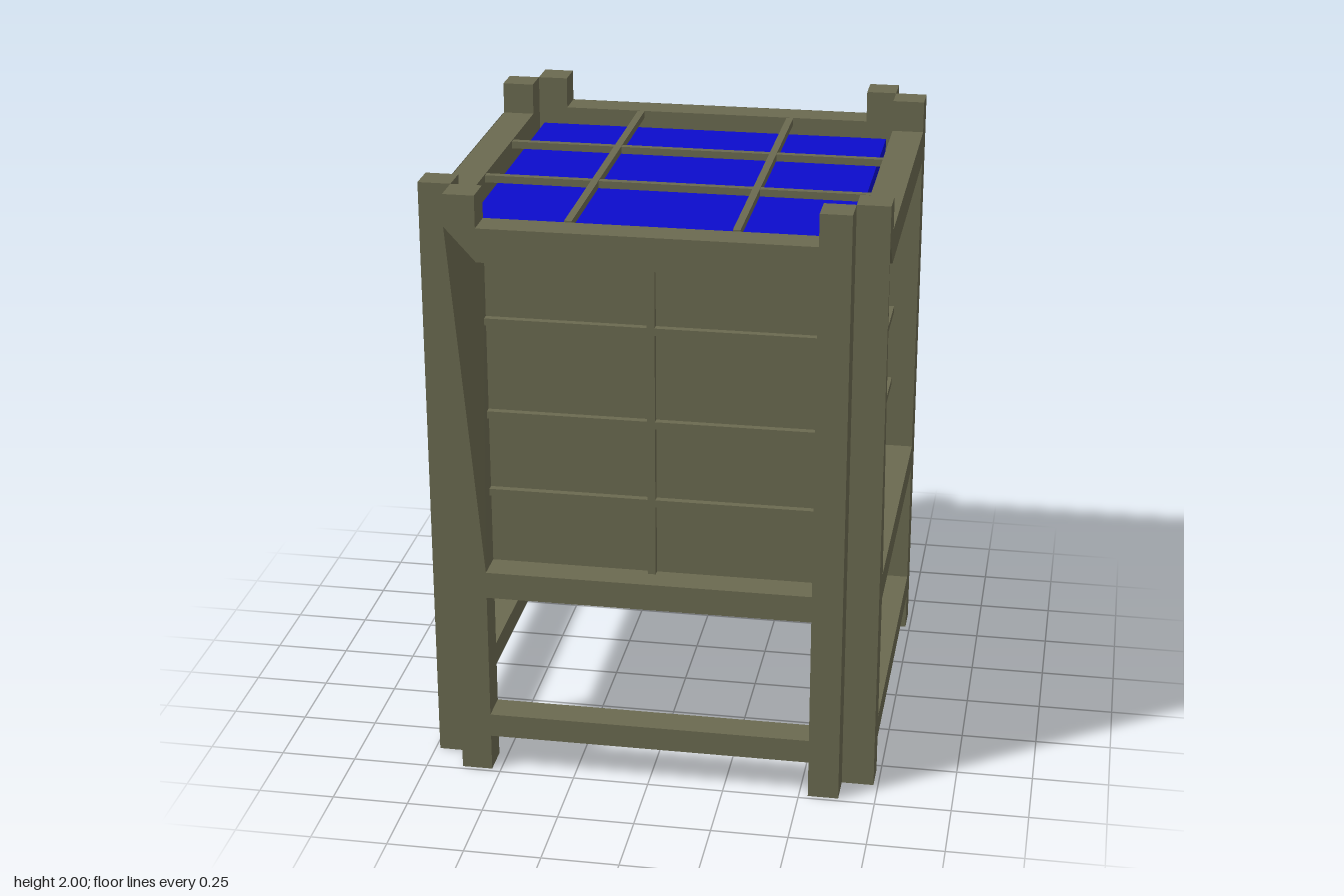
import * as THREE from 'three';

const olive = new THREE.MeshStandardMaterial({ color: 0x6b6a50, flatShading: true, side: THREE.DoubleSide });
const blue = new THREE.MeshStandardMaterial({ color: 0x0c0ccc, flatShading: true, side: THREE.DoubleSide });

const IN = 0.53, OUT = 0.63, FACE = 0.735; // post inner edge, post outer edge, outer frame plane
const TOP = 1.895, SILL = 0.635, WIN_LOW = 0.725, WIN_HIGH = 1.785;

// Box given by its minimum and maximum corners
function block(parent, name, [x0, y0, z0], [x1, y1, z1], material = olive) {
  const geo = new THREE.BoxGeometry(x1 - x0, y1 - y0, z1 - z0);
  geo.translate((x0 + x1) / 2, (y0 + y1) / 2, (z0 + z1) / 2);
  const mesh = new THREE.Mesh(geo, material);
  mesh.name = name;
  parent.add(mesh);
  return mesh;
}

// Pull the front top inner corner of a block out to the post's outer edge
function bevelCorner(mesh) {
  const p = mesh.geometry.attributes.position;
  for (let i = 0; i < p.count; i++) {
    const atCorner = Math.abs(p.getX(i) + IN) < 1e-4 && p.getY(i) > TOP - 1e-3 && p.getZ(i) > FACE - 1e-3;
    if (atCorner) p.setX(i, -OUT);
  }
  mesh.geometry.computeVertexNormals();
}

// One upright and three horizontal ribs on a wall at depth z
function addRibs(parent, z, depth) {
  block(parent, 'uprightRib', [-0.013, WIN_LOW, z], [0.013, 1.77, z + depth]);
  for (const y of [0.975, 1.245, 1.56])
    block(parent, 'crossRib', [-IN, y - 0.012, z], [IN, y + 0.012, z + depth]);
}

// Posts and rails of one side, facing +z
function sideFrame(name, open) {
  const side = new THREE.Group();
  side.name = name;
  block(side, 'post', [IN, 0, OUT], [OUT, 2, FACE]);
  if (open) {
    block(side, 'postFoot', [-OUT, 0, OUT], [-IN, WIN_LOW, FACE]);
    bevelCorner(block(side, 'postMiddle', [-OUT, WIN_LOW, OUT], [-IN, TOP, FACE]));
    block(side, 'postHead', [-OUT, TOP, OUT], [-IN, 2, FACE]);
  } else {
    block(side, 'post', [-OUT, 0, OUT], [-IN, 2, FACE]);
  }
  const topRail = block(side, 'topRail', [-IN, WIN_HIGH, OUT], [IN, TOP, FACE]);
  if (open) bevelCorner(topRail);
  block(side, 'middleRail', [-IN, SILL, OUT], [IN, WIN_LOW, FACE]);
  block(side, 'lowerRail', [-IN, 0.125, OUT], [IN, 0.205, FACE]);
  return side;
}

// Recessed ribbed wall
function addRecessedPanel(side) {
  block(side, 'recessedPanel', [-IN, WIN_LOW, OUT - 0.002], [IN, WIN_HIGH, OUT + 0.002]);
  addRibs(side, OUT, 0.025);
}

// Flush outer sheet with a gusset running down to the lower rail
function addOuterSheet(side) {
  const shape = new THREE.Shape([
    [-IN, TOP], [-IN, 0.205], [-0.24, SILL], [IN, SILL], [IN, TOP],
  ].map(([x, y]) => new THREE.Vector2(x, y)));
  const sheet = new THREE.Mesh(new THREE.ShapeGeometry(shape), olive);
  sheet.name = 'outerSheet';
  sheet.position.z = FACE + 0.002;
  side.add(sheet);
}

export function createModel() {
  const model = new THREE.Group();
  model.name = 'framedContainer';

  // Four sides: front and left are open frames, back and right are sheeted
  ['frontSide', 'leftSide', 'backSide', 'rightSide'].forEach((name, i) => {
    const open = i < 2;
    const side = sideFrame(name, open);
    if (open) addRecessedPanel(side);
    else {
      addOuterSheet(side);
      addRibs(side, (i === 2 ? 0.57 : 0.6) - 0.015, 0.02);
    }
    side.rotation.y = i * Math.PI / 2;
    model.add(side);
  });

  // Blue liner, open below and closed at the front by the panel
  const liner = block(model, 'liner', [-0.6, 0.72, -0.57], [0.605, 1.853, 0.628], blue);
  const index = Array.from(liner.geometry.index.array);
  liner.geometry.setIndex(index.slice(0, 18).concat(index.slice(30)));

  // Grid of bars over the top
  const grid = new THREE.Group();
  grid.name = 'topGrid';
  for (const z of [-0.21, 0.178])
    block(grid, 'crossBar', [-OUT, 1.868, z - 0.012], [OUT, 1.892, z + 0.012]);
  for (const x of [-0.265, 0.262])
    block(grid, 'longBar', [x - 0.012, 1.87, -OUT], [x + 0.012, 1.894, 0.612]);
  model.add(grid);

  return model;
}
